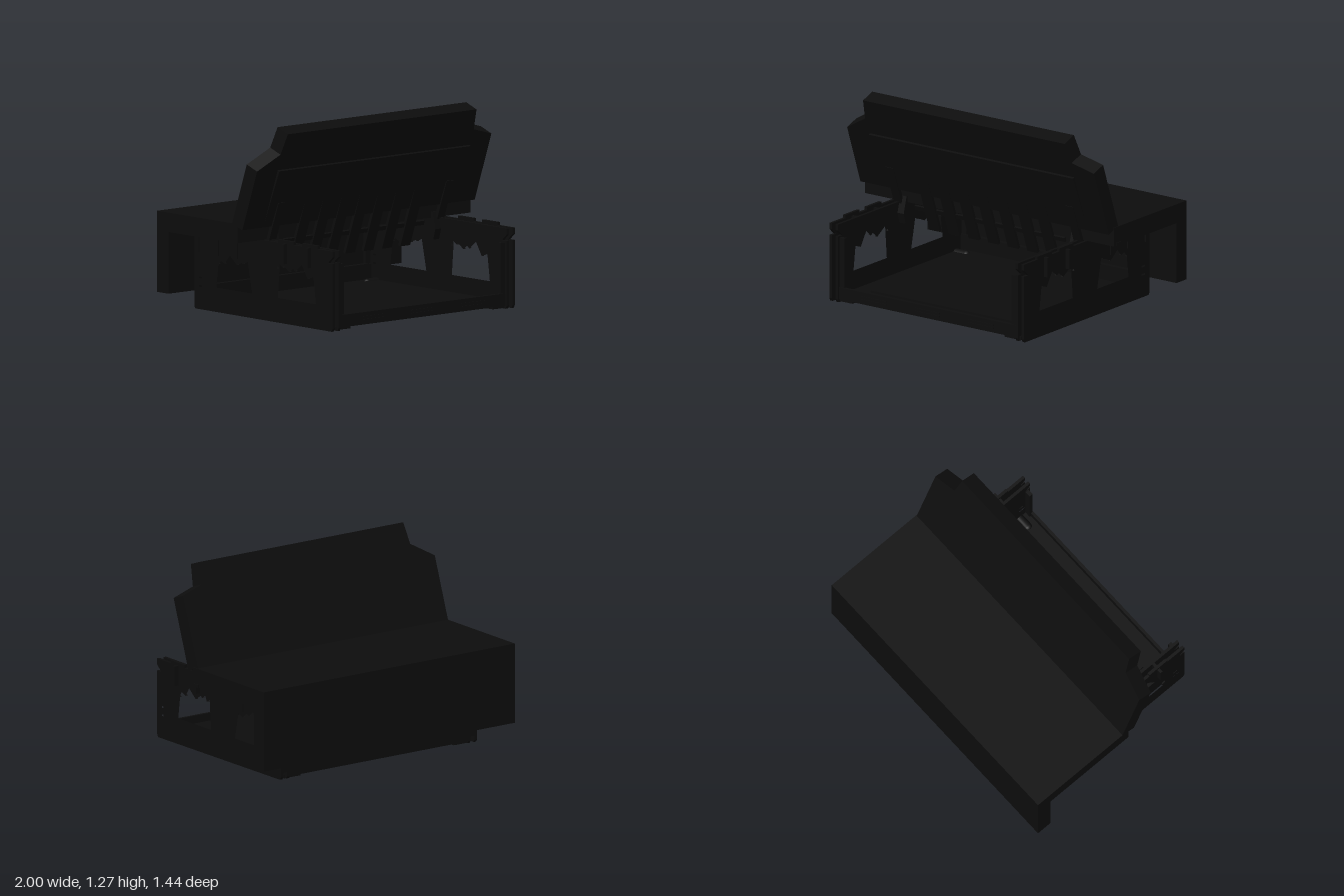
import * as THREE from 'three';

export function createModel() {
  const model = new THREE.Group();
  const black = new THREE.MeshStandardMaterial({ color: 0x0d0d0d });
  black.name = 'matte black';

  const add = (name, geometry, parent = model) => {
    const mesh = new THREE.Mesh(geometry, black);
    mesh.name = name;
    parent.add(mesh);
    return mesh;
  };
  // box given by its limits on each axis
  const box = (name, x0, x1, y0, y1, z0, z1, parent) =>
    add(name, new THREE.BoxGeometry(x1 - x0, y1 - y0, z1 - z0)
      .translate((x0 + x1) / 2, (y0 + y1) / 2, (z0 + z1) / 2), parent);
  // side profile in [z, y] points, extruded from x0 to x1
  const points = list => list.map(([z, y]) => new THREE.Vector2(-z, y));
  const profile = (name, outline, holes, x0, x1, parent) => {
    const shape = new THREE.Shape(points(outline));
    holes.forEach(h => shape.holes.push(new THREE.Path(points(h))));
    const g = new THREE.ExtrudeGeometry(shape, { depth: x1 - x0, bevelEnabled: false });
    return add(name, g.rotateY(Math.PI / 2).translate(x0, 0, 0), parent);
  };

  // floor tray with a raised inner panel and low lips
  box('trayFloor', -0.73, 0.73, 0.02, 0.05, -0.6, 0.71);
  box('trayPanel', -0.58, 0.58, 0.05, 0.065, -0.45, 0.55);
  box('frontLip', -0.73, 0.73, 0.02, 0.1, 0.69, 0.71);
  box('rearLip', -0.73, 0.73, 0.02, 0.15, -0.61, -0.58);
  for (const x of [-0.43, 0, 0.43])
    for (const y of [0.05, 0.07]) box('lipRidge', x - 0.1, x + 0.1, y - 0.004, y + 0.004, 0.708, 0.714);

  // side frames: paired plates with jagged windows and small slots
  const frameOutline = [
    [0.71, 0], [0.72, 0.02], [0.72, 0.44], [0.675, 0.44], [0.72, 0.48], [0.72, 0.52],
    [-0.6, 0.52], [-0.61, 0.44], [-0.61, 0.02], [-0.6, 0.005]
  ];
  const windows = [
    [[0.56, 0.15], [0.535, 0.335], [0.48, 0.315], [0.41, 0.425], [0.305, 0.34], [0.21, 0.4],
      [0.185, 0.35], [0.155, 0.37], [0.137, 0.15]],
    [[-0.05, 0.15], [-0.098, 0.372], [-0.2, 0.33], [-0.295, 0.405], [-0.375, 0.315],
      [-0.43, 0.335], [-0.455, 0.15]]
  ];
  for (const z of [0.65, 0.053, -0.545])
    for (const y of [0.155, 0.21])
      windows.push([[z - 0.02, y - 0.006], [z + 0.02, y - 0.006], [z + 0.02, y + 0.006], [z - 0.02, y + 0.006]]);

  for (const side of [-1, 1]) {
    const frame = new THREE.Group();
    frame.name = side > 0 ? 'leftSideFrame' : 'rightSideFrame';
    model.add(frame);
    const span = (a, b) => (side > 0 ? [a, b] : [-b, -a]);
    profile('outerPlate', frameOutline, windows, ...span(0.76, 0.78), frame);
    profile('innerPlate', frameOutline, windows, ...span(0.71, 0.73), frame);
    // cross fins joining the plates, with flat tabs on top
    for (const z of [0.5, 0.27]) {
      box('crossFin', ...span(0.73, 0.81), 0.39, 0.52, z - 0.01, z + 0.01, frame);
      box('topTab', ...span(0.76, 0.78), 0.52, 0.54, z - 0.075, z + 0.075, frame);
    }
    for (const z of [-0.2, -0.38, -0.57])
      box('crossFin', ...span(0.73, 0.79), 0.37, 0.52, z - 0.01, z + 0.01, frame);
    // corner posts and feet
    box('frontPost', ...span(0.67, 0.72), 0.05, 0.43, 0.68, 0.705, frame);
    box('rearPost', ...span(0.67, 0.76), 0.05, 0.52, -0.61, -0.59, frame);
    for (const z of [0.63, -0.53]) {
      const foot = new THREE.CapsuleGeometry(0.03, 0.09, 6, 12).rotateZ(Math.PI / 2);
      add('foot', foot.translate(side * 0.675, 0.035, z), frame);
      box('footPad', ...span(0.61, 0.74), 0.005, 0.03, z - 0.06, z + 0.07, frame);
    }
    // hinge arm reaching to the lid
    profile('hingeArm', [[0.02, 0.38], [0.07, 0.38], [0.09, 0.45], [0.06, 0.56], [0.02, 0.56]], [],
      ...span(0.66, 0.71), frame);
  }

  // rear cover: top slab and back slab in one L-shaped body
  profile('rearCover', [[0.05, 0.52], [0.05, 0.645], [-0.72, 0.645], [-0.72, 0.12], [-0.612, 0.12], [-0.612, 0.52]],
    [], -1, 0.995);
  box('coverCatch', 0.99, 1, 0.52, 0.54, -0.02, 0.03);

  // open lid, leaning forward from the hinge line
  const lid = new THREE.Group();
  lid.name = 'lid';
  lid.position.set(0, 0.645, 0);
  lid.rotation.x = THREE.MathUtils.degToRad(19.7);
  model.add(lid);
  const lidShape = new THREE.Shape([
    [-1, 0], [0.99, 0], [0.99, 0.473], [0.825, 0.522], [0.805, 0.666], [-0.81, 0.666], [-0.83, 0.522], [-1, 0.42]
  ].map(p => new THREE.Vector2(...p)));
  add('lidPanel', new THREE.ExtrudeGeometry(lidShape, { depth: 0.105, bevelEnabled: false }), lid);
  profile('lidInnerStep', [[0.104, 0.02], [0.104, 0.41], [0.122, 0.41]], [], -0.82, 0.82, lid);

  // rounded guide ribs hanging below the lid
  const rib = new THREE.Shape();
  const r = 0.042;
  rib.moveTo(-r, -0.27).lineTo(r, -0.27).lineTo(r, 0.22);
  rib.absarc(0, 0.22, r, 0, Math.PI, false);
  for (let i = -3; i <= 3; i++) {
    const g = new THREE.ExtrudeGeometry(rib, { depth: 0.02, bevelEnabled: false, curveSegments: 10 });
    add('guideRib', g.translate(i * 0.157, 0, 0.09), lid);
  }
  box('guideRail', -0.6, 0.6, -0.14, -0.11, 0.085, 0.1, lid);
  for (const s of [-1, 1]) box('lidLatch', s * 0.72 - 0.03, s * 0.72 + 0.03, -0.12, 0.17, 0.09, 0.115, lid);

  return model;
}
